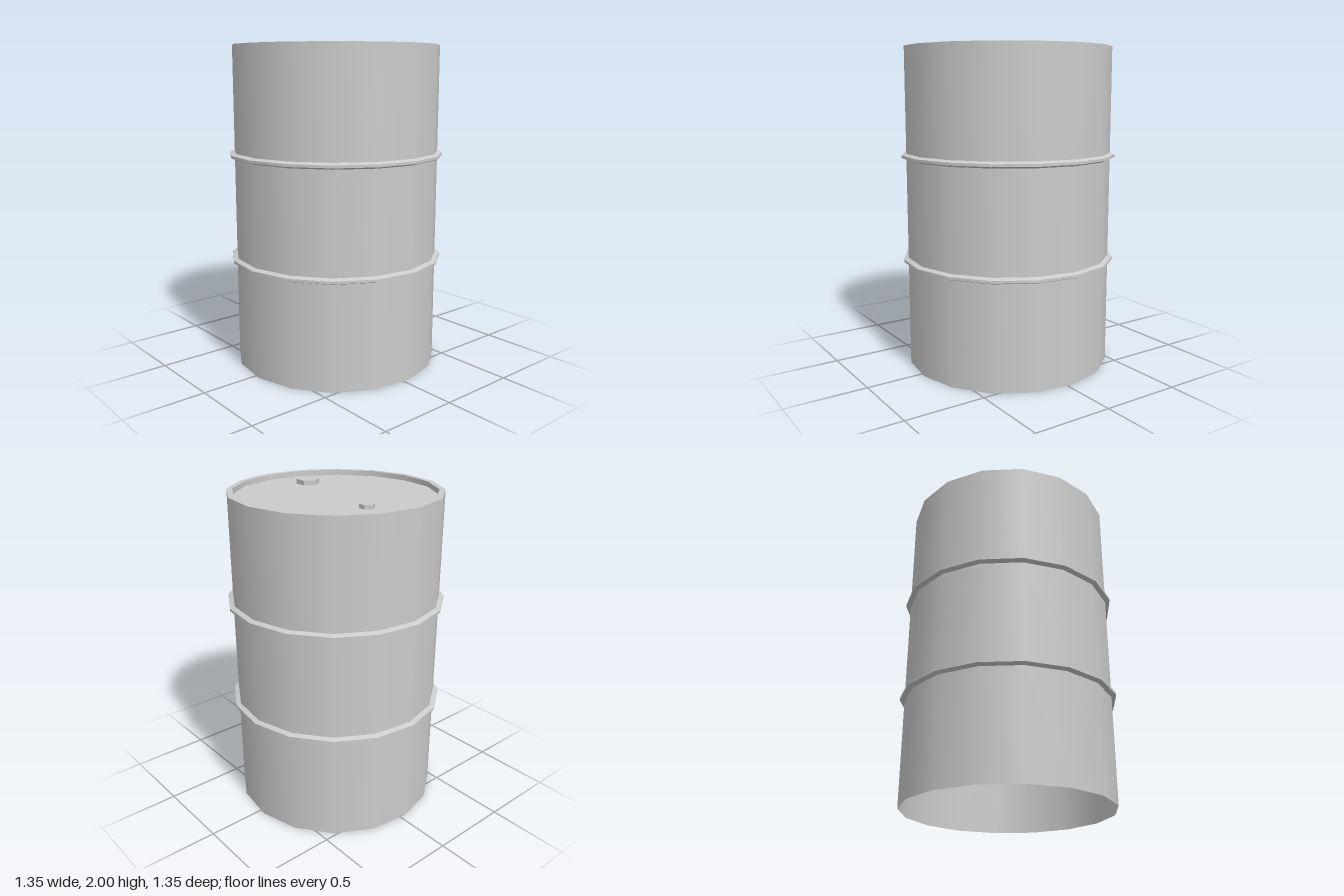
import * as THREE from 'three';
import { mergeGeometries } from 'three/addons/utils/BufferGeometryUtils.js';

const SIDES = 16;
const TURN = THREE.MathUtils.degToRad(3.4);
const R = 0.645, RING_R = 0.674, RIM_R = 0.61, LID_Y = 1.967;

const metal = new THREE.MeshStandardMaterial({ color: 0xcccccc, side: THREE.DoubleSide });

// Revolve each profile segment on its own: smooth around, sharp between segments
function revolve(name, profile) {
  const bands = [];
  for (let i = 0; i < profile.length - 1; i++) {
    const pts = [profile[i], profile[i + 1]].map(([r, y]) => new THREE.Vector2(r, y));
    bands.push(new THREE.LatheGeometry(pts, SIDES, TURN));
  }
  const mesh = new THREE.Mesh(mergeGeometries(bands), metal);
  mesh.name = name;
  return mesh;
}

// Hexagonal plug with two corners along the x axis
function plug(name, x, z, radius, height) {
  const geometry = new THREE.CylinderGeometry(radius, radius, height, 6, 1, false, Math.PI / 6).toNonIndexed();
  geometry.computeVertexNormals();
  const mesh = new THREE.Mesh(geometry, metal);
  mesh.name = name;
  mesh.position.set(x, LID_Y + height / 2, z);
  return mesh;
}

export function createModel() {
  const drum = new THREE.Group();
  drum.name = 'drum';

  // Open-bottomed wall with two hollow rolling hoops pressed into it
  const hoops = [0.675, 1.332];
  const edges = [0, ...hoops.flatMap((y) => [y - 0.019, y + 0.019]), 2];
  for (let i = 0; i < edges.length; i += 2) {
    drum.add(revolve('wallSection', [[R, edges[i]], [R, edges[i + 1]]]));
  }
  for (const y of hoops) {
    drum.add(revolve('rollingHoop', [[R, y - 0.019], [RING_R, y - 0.008], [RING_R, y + 0.008], [R, y + 0.019]]));
  }

  // Raised rim and recessed lid
  drum.add(revolve('rim', [[R, 2], [RIM_R, 2], [RIM_R, LID_Y]]));
  drum.add(revolve('lid', [[RIM_R, LID_Y], [0, LID_Y]]));

  // Filler and vent plugs; a hexagon corner must face +x
  drum.add(plug('fillerPlug', 0.362, 0.08, 0.073, 0.03));
  drum.add(plug('ventPlug', -0.365, -0.086, 0.045, 0.024));

  return drum;
}
